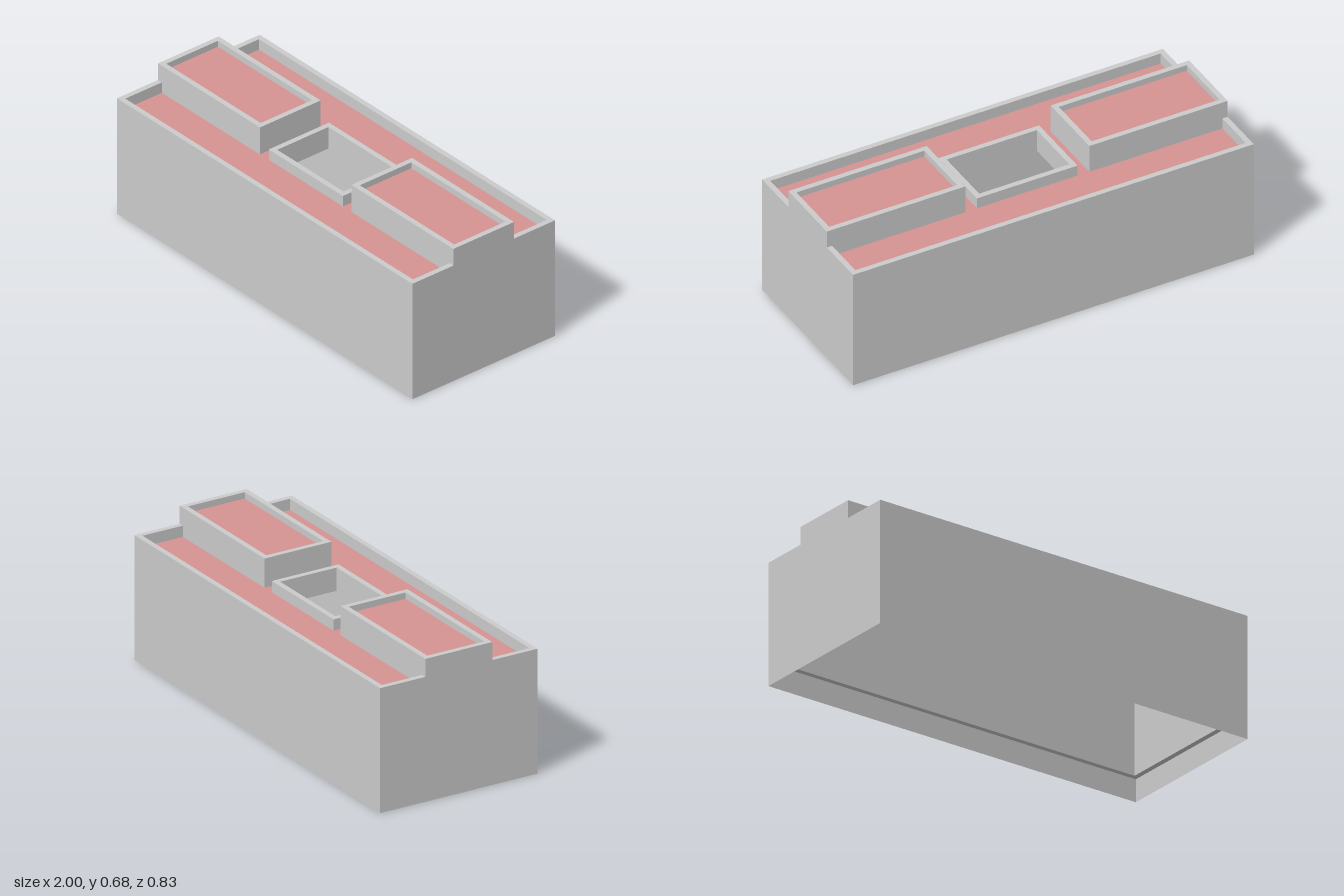
import * as THREE from 'three';

const grey = new THREE.MeshStandardMaterial({ color: 0xcccccc, flatShading: true });
const greyThin = new THREE.MeshStandardMaterial({ color: 0xcccccc, flatShading: true, side: THREE.DoubleSide });
const red = new THREE.MeshStandardMaterial({ color: 0xd59492, side: THREE.DoubleSide });

const HX = 0.9955, HZ = 0.405;            // half length and half depth of the building
const T = 0.026;                          // wall and parapet thickness
const LEDGE = 0.11, CEILING = 0.48, DECK = 0.537, PARAPET = 0.59;
const BLOCK_DECK = 0.645, BLOCK_TOP = 0.675;
const BLOCK_IN = 0.308, BLOCK_HZ = 0.172; // raised roof block: inner end, half depth

function rect(target, hx, hz) {
  target.moveTo(-hx, -hz);
  target.lineTo(hx, -hz);
  target.lineTo(hx, hz);
  target.lineTo(-hx, hz);
  target.closePath();
  return target;
}

// Flat rectangle in plan, optionally with a central rectangular hole
function plan(hx, hz, holeX, holeZ) {
  const shape = rect(new THREE.Shape(), hx, hz);
  if (holeX) shape.holes.push(rect(new THREE.Path(), holeX, holeZ));
  return shape;
}

function add(parent, name, geometry, material) {
  const mesh = new THREE.Mesh(geometry, material);
  mesh.name = name;
  parent.add(mesh);
  return mesh;
}

// Plan shape raised from y0 to y1
function prism(parent, name, shape, y0, y1) {
  const g = new THREE.ExtrudeGeometry(shape, { depth: y1 - y0, bevelEnabled: false });
  return add(parent, name, g.rotateX(-Math.PI / 2).translate(0, y0, 0), grey);
}

// Thin coloured roof surface
function deck(parent, name, shape, y) {
  return add(parent, name, new THREE.ShapeGeometry(shape).rotateX(-Math.PI / 2).translate(0, y, 0), red);
}

export function createModel() {
  const model = new THREE.Group();
  model.name = 'building';
  const body = new THREE.Group();
  body.name = 'body';
  body.rotation.y = -0.0107; // the building sits slightly askew
  model.add(body);

  // Outer walls with parapet, standing on a thin skirt below the ledge
  prism(body, 'outerWalls', plan(HX, HZ, HX - T, HZ - T), LEDGE, PARAPET);
  for (let i = 0; i < 4; i++) {
    const end = i % 2 === 1;
    const g = new THREE.PlaneGeometry(2 * (end ? HZ : HX), LEDGE);
    g.translate(0, LEDGE / 2, end ? HX : HZ).rotateY(i * Math.PI / 2);
    add(body, 'wallSkirt', g, greyThin);
  }

  // Roof slab and red roof surface, open at the light well
  const wellX = 0.25, wellZ = 0.171;
  prism(body, 'roofSlab', plan(HX - T, HZ - T, wellX, wellZ), CEILING, DECK - 0.003);
  deck(body, 'mainRoof', plan(HX - T, HZ - T, wellX, wellZ), DECK);
  prism(body, 'lightWellCurb', plan(wellX, wellZ, wellX - T, wellZ - T), CEILING, PARAPET);

  // Raised roof blocks, flush with the two ends
  const hx = (HX - BLOCK_IN) / 2;
  for (const [side, name] of [[1, 'leftRoofBlock'], [-1, 'rightRoofBlock']]) {
    const block = new THREE.Group();
    block.name = name;
    block.position.x = side * (BLOCK_IN + hx);
    prism(block, 'blockWalls', plan(hx, BLOCK_HZ, hx - T, BLOCK_HZ - T), DECK - 0.002, BLOCK_TOP);
    deck(block, 'blockRoof', plan(hx - T, BLOCK_HZ - T), BLOCK_DECK);
    body.add(block);
  }
  return model;
}
